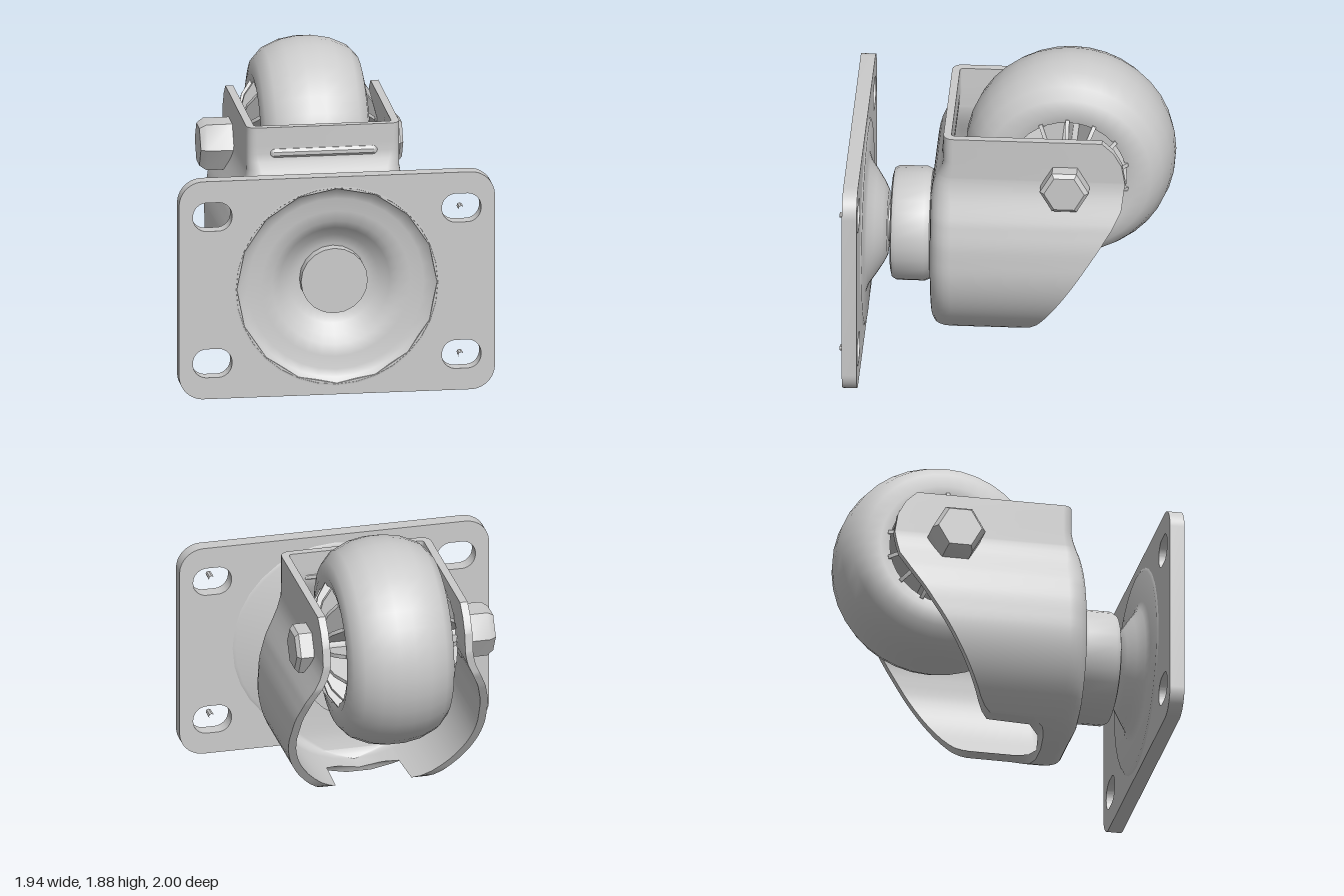
import * as THREE from 'three';
import { toCreasedNormals } from 'three/addons/utils/BufferGeometryUtils.js';

const MID = 0.685;              // height of the swivel axis
const AXLE_Y = 1.235, AXLE_Z = -0.36;

const material = new THREE.MeshStandardMaterial({ color: 0xcccccc });
const thin = new THREE.MeshStandardMaterial({ color: 0xcccccc, side: THREE.DoubleSide });

function add(parent, name, geometry, x = 0, y = 0, z = 0, mat = material) {
  const mesh = new THREE.Mesh(toCreasedNormals(geometry, 0.6), mat);
  mesh.name = name;
  mesh.position.set(x, y, z);
  parent.add(mesh);
  return mesh;
}

function lathe(points, segments) {
  return new THREE.LatheGeometry(points.map(p => new THREE.Vector2(...p)), segments);
}

// Linear lookup in a short table of [key, value] pairs
function lookup(table, k) {
  let i = 1;
  while (i < table.length - 1 && k > table[i][0]) i++;
  const [a, b] = [table[i - 1], table[i]];
  const t = THREE.MathUtils.clamp((k - a[0]) / (b[0] - a[0]), 0, 1);
  return a[1] + (b[1] - a[1]) * t;
}

function roundedRect(path, cx, cy, w, h, r) {
  const x = w / 2 - r, y = h / 2 - r;
  path.absarc(cx + x, cy + y, r, 0, Math.PI / 2);
  path.absarc(cx - x, cy + y, r, Math.PI / 2, Math.PI);
  path.absarc(cx - x, cy - y, r, Math.PI, Math.PI * 1.5);
  path.absarc(cx + x, cy - y, r, Math.PI * 1.5, Math.PI * 2);
  path.closePath();
  return path;
}

// Mounting plate with four slots and a round opening for the dish
function plateGeometry() {
  const shape = roundedRect(new THREE.Shape(), 0, 0.6875, 1.94, 1.375, 0.15);
  for (const x of [-0.765, 0.765]) for (const y of [0.225, 1.15]) {
    shape.holes.push(roundedRect(new THREE.Path(), x, y, 0.24, 0.18, 0.085));
  }
  const opening = new THREE.Path();
  opening.absarc(0, MID, 0.615, 0, Math.PI * 2);
  shape.holes.push(opening);
  return new THREE.ExtrudeGeometry(shape, { depth: 0.09, bevelEnabled: false, curveSegments: 8 });
}

// Pressed fork: U-shaped horizontal sections stacked upwards
function forkGeometry() {
  const back = [[0.07, 0.27], [0.1, 0.26], [0.13, 0.24], [0.16, 0.17], [0.165, -0.1], [0.19, -0.14],
    [0.23, -0.175], [0.99, -0.645], [1.1, -0.7], [1.26, -0.72], [1.38, -0.7], [1.47, -0.65], [1.535, -0.58]];
  const front = [[0.07, 0.38], [0.1, 0.43], [0.16, 0.46], [0.25, 0.47], [1.1, 0.47], [1.2, 0.455],
    [1.3, 0.41], [1.35, 0.39], [1.535, 0.39]];
  const side = [[0.68, 0.615], [0.85, 0.605], [1.0, 0.565], [1.1, 0.52], [1.18, 0.485], [1.25, 0.47], [1.535, 0.47]];
  const corner = [[0.07, 0.06], [0.2, 0.13], [1.1, 0.13], [1.35, 0.06], [1.535, 0.06]];
  const wall = 0.048, steps = 5;

  const levels = back.map(p => p[0]);
  for (let y = 0.27; y < 1.5; y += 0.05) levels.push(y);
  levels.sort((a, b) => a - b);

  // One side of the U: back left, round both front corners, back right
  const run = (x, y, zBack, zFront, radius) => {
    const r = Math.min(radius, x), pts = [[-x, y, zBack]];
    for (const s of [-1, 1]) for (let i = 0; i <= steps; i++) {
      const a = (s < 0 ? i : steps - i) / steps * Math.PI / 2;
      pts.push([s * (x - r + r * Math.cos(a)), y, zFront - r + r * Math.sin(a)]);
    }
    pts.push([x, y, zBack]);
    return pts;
  };
  const circle = (r, y) => Math.sqrt(Math.max(0, r * r - (y - 0.68) ** 2));

  const positions = [], index = [];
  for (const y of levels) {
    const zb = lookup(back, y), zf = lookup(front, y), r = lookup(corner, y);
    const xo = y < 0.68 ? circle(0.615, y) : lookup(side, y);
    const xi = y < 0.68 ? circle(0.615 - wall, y) : xo - wall;
    const outer = run(xo, y, zb, zf, r);
    const inner = run(xi, y, zb, zf - wall, Math.max(0.02, r - wall));
    for (const p of [...outer, ...inner.reverse()]) positions.push(...p);
  }
  const n = 2 * (2 * (steps + 1) + 2), top = (levels.length - 1) * n;
  const quad = (a, b, c, d) => index.push(a, b, c, a, c, d);
  for (let j = 0; j < top; j += n) for (let i = 0; i < n; i++) {
    const k = (i + 1) % n;
    quad(j + i, j + k, j + n + k, j + n + i);
  }
  for (let i = 0; i < n / 2 - 1; i++) {
    quad(top + i, top + i + 1, top + n - 2 - i, top + n - 1 - i);
    quad(n - 1 - i, n - 2 - i, i + 1, i);
  }
  const geometry = new THREE.BufferGeometry();
  geometry.setAttribute('position', new THREE.Float32BufferAttribute(positions, 3));
  geometry.setIndex(index);
  return geometry;
}

// Wheel turning on the x axis, built round its own centre
function createWheel() {
  const wheel = new THREE.Group();
  wheel.name = 'wheel';
  const tread = [[0.42, -0.335], [0.51, -0.315], [0.575, -0.255], [0.622, -0.15], [0.64, -0.05]];
  const mirrored = tread.map(([r, x]) => [r, -x]).reverse();
  const tyre = [[0.36, -0.32], ...tread, ...mirrored, [0.36, 0.32], [0.36, -0.32]];
  add(wheel, 'tyre', lathe(tyre, 36).rotateZ(-Math.PI / 2));
  add(wheel, 'hub', new THREE.CylinderGeometry(0.13, 0.13, 0.84, 20).rotateZ(Math.PI / 2));

  // Tapered ribs between hub and rim
  const rib = new THREE.Shape([[-0.42, 0.1], [0.42, 0.1], [0.42, 0.17], [0.385, 0.3], [0.33, 0.38],
    [-0.33, 0.38], [-0.385, 0.3], [-0.42, 0.17]].map(p => new THREE.Vector2(...p)));
  const ribGeometry = new THREE.ExtrudeGeometry(rib, { depth: 0.024, bevelEnabled: false });
  ribGeometry.translate(0, 0, -0.012);
  for (let i = 0; i < 14; i++) {
    add(wheel, 'spoke', ribGeometry).rotation.x = (i / 14) * Math.PI * 2;
  }
  return wheel;
}

export function createModel() {
  const caster = new THREE.Group();
  caster.name = 'caster';

  // Plate, pressed dish and rivet
  add(caster, 'mountingPlate', plateGeometry(), 0, 0, 0.885);
  const dish = [[0, 0.745], [0.2, 0.75], [0.25, 0.775], [0.32, 0.82], [0.38, 0.862], [0.43, 0.878], [0.62, 0.876],
    [0.64, 0.886], [0.64, 0.974], [0.62, 0.976], [0.585, 0.94], [0.54, 0.925], [0.46, 0.92], [0.39, 0.905],
    [0.34, 0.87], [0.28, 0.81], [0.22, 0.785], [0, 0.785]];
  add(caster, 'swivelDish', lathe(dish, 32).rotateX(Math.PI / 2), 0, MID);
  add(caster, 'rivet', new THREE.CylinderGeometry(0.205, 0.205, 0.1, 20).rotateX(Math.PI / 2), 0, MID, 0.81);
  for (const y of [0.225, 1.15]) {
    add(caster, 'slotPin', new THREE.CylinderGeometry(0.018, 0.018, 0.08, 8, 1, true).rotateX(Math.PI / 2),
      0.76, y, 0.96);
  }

  // Swivel bearing between dish and fork
  const bearing = [[0, 0.4], [0.3, 0.4], [0.3, 0.475], [0.335, 0.485], [0.35, 0.52], [0.35, 0.69],
    [0.335, 0.718], [0.3, 0.728], [0.115, 0.73], [0.115, 0.76], [0, 0.76]];
  add(caster, 'swivelBearing', lathe(bearing, 28).rotateX(Math.PI / 2), 0, MID);

  // Fork with a stiffening ridge across its upper front
  add(caster, 'fork', forkGeometry(), 0, 0, 0, thin);
  add(caster, 'forkRidge', new THREE.CapsuleGeometry(0.035, 0.6, 4, 10).rotateZ(Math.PI / 2), 0, 1.37, 0.372);

  // Wheel
  const wheel = createWheel();
  wheel.position.set(0, AXLE_Y, AXLE_Z);
  caster.add(wheel);

  // Hexagonal axle bolt head and nut, corners pointing fore and aft
  const hex = (name, radius, x0, x1) => {
    const d = x1 - x0, s = Math.sign(d), L = Math.abs(d);
    const profile = [[0, 0], [radius, 0], [radius, L * 0.8], [radius * 0.82, L], [0, L]];
    const geometry = lathe(profile, 6).rotateZ(-s * Math.PI / 2);
    add(caster, name, geometry, x0, AXLE_Y, AXLE_Z + 0.005);
  };
  hex('axleBoltHead', 0.165, -0.465, -0.67);
  hex('axleNut', 0.15, 0.465, 0.575);

  return caster;
}
